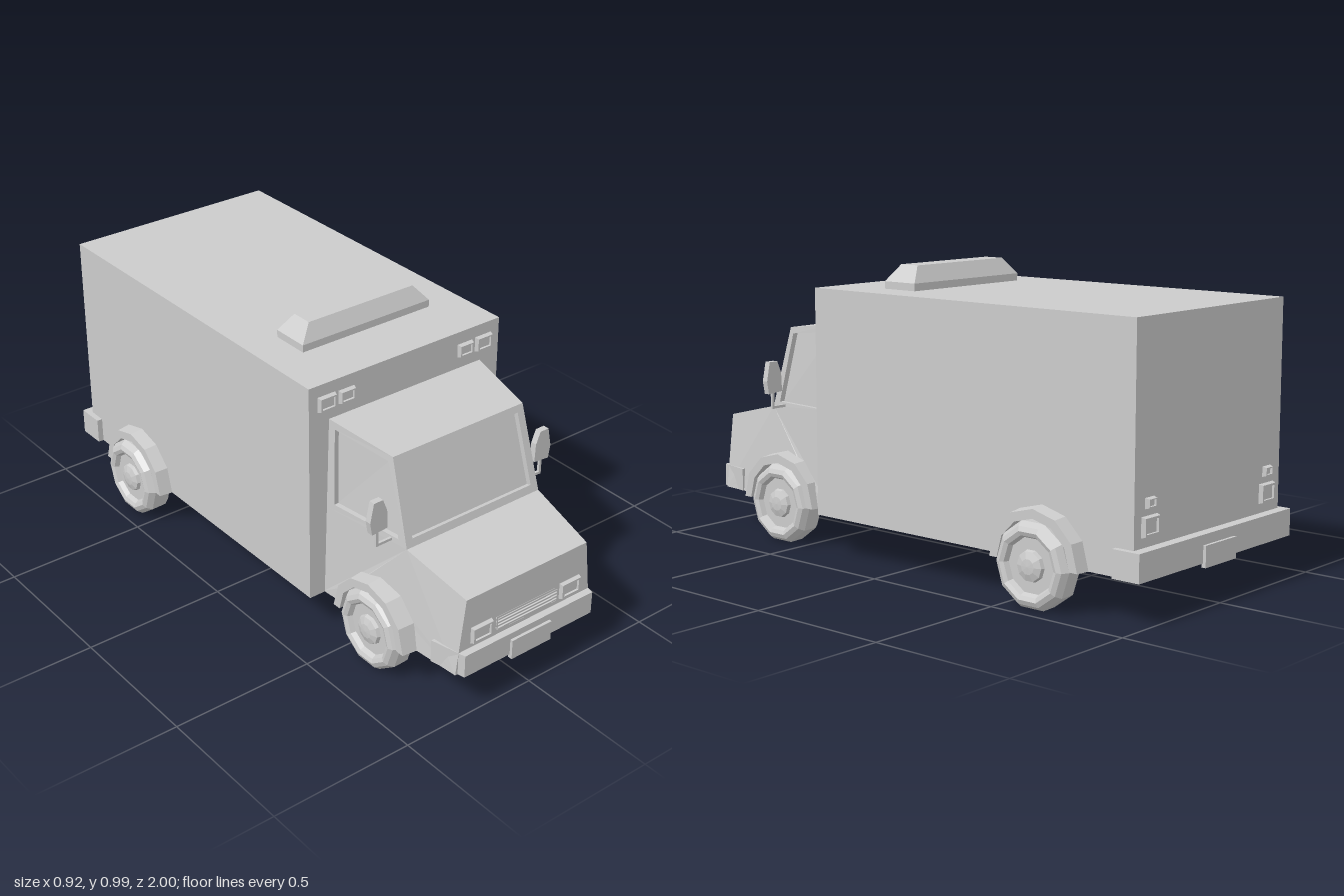
import * as THREE from 'three';

const mat = new THREE.MeshStandardMaterial({ color: 0xcccccc, flatShading: true });
const FLOOR = 0.145, ARCH_R = 0.155;

function add(parent, name, geo, x = 0, y = 0, z = 0) {
  const m = new THREE.Mesh(geo, mat);
  m.name = name;
  m.position.set(x, y, z);
  parent.add(m);
  return m;
}

// Extrude a (z, y) side profile across x, centred on x = 0
function extrudeAcross(points, width) {
  const shape = new THREE.Shape(points.map(([z, y]) => new THREE.Vector2(z, y)));
  const g = new THREE.ExtrudeGeometry(shape, { depth: width, bevelEnabled: false });
  return g.translate(0, 0, -width / 2).rotateY(-Math.PI / 2);
}

// Points of a half-round wheel arch, from rear to front
function archPoints(cz, r, n = 6) {
  return Array.from({ length: n + 1 }, (_, i) => {
    const a = Math.PI * (1 - i / n);
    return [cz + r * Math.cos(a), FLOOR + r * Math.sin(a)];
  });
}

// Half-width of the cab: narrower towards the nose and the roof
function cabHalf(z, y) {
  const t = (z - 0.38) / 0.59, h = y - FLOOR;
  return 0.33 - 0.03 * h - t * (0.045 + 0.1 * h);
}

// Quads given as four corners, anticlockwise from outside
function quads(list) {
  const pos = [];
  for (const [a, b, c, d] of list) for (const p of [a, b, c, a, c, d]) pos.push(p.x, p.y, p.z);
  const g = new THREE.BufferGeometry();
  g.setAttribute('position', new THREE.Float32BufferAttribute(pos, 3));
  g.computeVertexNormals();
  return g;
}

// Frame with a recessed pane; u and v are the inner limits across the panel
function insetPanel(c, [u0, u1], [v0, v1], depth, extra = []) {
  const at = (u, v) => c[0].clone().lerp(c[1], u).lerp(c[3].clone().lerp(c[2], u), v);
  const n = c[2].clone().sub(c[0]).cross(c[3].clone().sub(c[1])).normalize();
  const inner = [at(u0, v0), at(u1, v0), at(u1, v1), at(u0, v1)];
  const pane = inner.map(p => p.clone().addScaledVector(n, -depth));
  const list = [pane, ...extra];
  for (let i = 0; i < 4; i++) {
    const j = (i + 1) % 4;
    list.push([c[i], c[j], inner[j], inner[i]], [inner[i], inner[j], pane[j], pane[i]]);
  }
  return quads(list);
}

// Box-shaped lamp with bevelled sides and a recessed lens, facing +z
function lampGeometry(w, h, d) {
  const ring = (s, z) => [[-1, -1], [1, -1], [1, 1], [-1, 1]]
    .map(([x, y]) => new THREE.Vector3(x * (w / 2 - s), y * (h / 2 - s), z));
  const back = ring(0, 0), front = ring(0.004, d);
  const sides = [0, 1, 2, 3].map(i => [back[i], back[(i + 1) % 4], front[(i + 1) % 4], front[i]]);
  return insetPanel(front, [0.1, 0.9], [0.12, 0.88], 0.008, sides);
}

// Bumper: plan outline in (x, z) pulled up to its height
function bumperGeometry(halfFace, halfEnd, depth, height) {
  const s = new THREE.Shape();
  s.moveTo(-halfEnd, depth).lineTo(-halfFace, 0).lineTo(halfFace, 0).lineTo(halfEnd, depth);
  return new THREE.ExtrudeGeometry(s, { depth: height, bevelEnabled: false })
    .rotateX(Math.PI / 2).translate(0, height, 0).rotateY(Math.PI);
}

function buildCab(root) {
  const cab = new THREE.Group();
  cab.name = 'cab';
  root.add(cab);

  // Lower cab and bonnet, tapered by the width rule
  const lower = extrudeAcross([[0.37, FLOOR], ...archPoints(0.62, ARCH_R),
    [0.965, FLOOR], [0.965, 0.41], [0.715, 0.47], [0.37, 0.47]], 2);
  const p = lower.attributes.position;
  for (let i = 0; i < p.count; i++) p.setX(i, Math.sign(p.getX(i)) * cabHalf(p.getZ(i), p.getY(i)));
  add(cab, 'lowerCab', lower);

  // Upper cab: windscreen, side windows and roof
  const pt = (s, z, y) => new THREE.Vector3(s * cabHalf(z, y), y, z);
  const corner = s => ({ a: pt(s, 0.715, 0.47), b: pt(s, 0.63, 0.757), c: pt(s, 0.37, 0.79), d: pt(s, 0.37, 0.47) });
  const L = corner(1), R = corner(-1);
  add(cab, 'windscreen', insetPanel([R.a, L.a, L.b, R.b], [0.05, 0.95], [0.09, 0.92], 0.018));
  add(cab, 'leftWindow', insetPanel([L.a, L.d, L.c, L.b], [0.09, 0.89], [0.07, 0.92], 0.018));
  add(cab, 'rightWindow', insetPanel([R.d, R.a, R.b, R.c], [0.11, 0.91], [0.07, 0.92], 0.018));
  add(cab, 'cabRoof', quads([[R.b, L.b, L.c, R.c]]));

  // Grille: surround, recess and slats
  add(cab, 'grille', insetPanel([[-1, -1], [1, -1], [1, 1], [-1, 1]]
    .map(([x, y]) => new THREE.Vector3(x * 0.13, 0.27 + y * 0.028, 0.974)), [0.02, 0.98], [0.1, 0.9], 0.007));
  for (let i = 0; i < 4; i++)
    add(cab, 'grilleSlat', new THREE.BoxGeometry(0.25, 0.006, 0.01), 0, 0.252 + i * 0.012, 0.97);

  for (const s of [-1, 1]) {
    add(cab, 'headlight', lampGeometry(0.086, 0.058, 0.014), s * 0.186, 0.27, 0.964);

    // Door mirror on a bent arm
    const head = new THREE.Shape([[0.307, 0.535], [0.368, 0.53], [0.376, 0.575], [0.362, 0.642],
      [0.327, 0.642], [0.31, 0.6]].map(([x, y]) => new THREE.Vector2(s * x, y)));
    add(cab, 'mirror', new THREE.ExtrudeGeometry(head, { depth: 0.022, bevelEnabled: false }), 0, 0, 0.637);
    add(cab, 'mirrorArm', new THREE.BoxGeometry(0.009, 0.06, 0.009), s * 0.342, 0.505, 0.648);
    add(cab, 'mirrorArm', new THREE.BoxGeometry(0.07, 0.009, 0.009), s * 0.311, 0.48, 0.648);
  }
}

// Flared arch lip around a wheel; the outer rim shrinks inwards
function flareGeometry(cz, x0, x1, side) {
  const pts = [...archPoints(cz, 0.182), ...archPoints(cz, 0.15).reverse()];
  const g = extrudeAcross(pts, 2), p = g.attributes.position;
  for (let i = 0; i < p.count; i++) {
    const outer = p.getX(i) * side > 0;
    p.setX(i, side * (outer ? x1 : x0));
    if (outer) {
      p.setY(i, FLOOR + (p.getY(i) - FLOOR) * 0.95);
      p.setZ(i, cz + (p.getZ(i) - cz) * 0.95);
    }
  }
  return g;
}

// Ten-sided wheel: chamfered tyre, sunken rim and domed hub
function wheelGeometry() {
  const prof = [[0, -0.045], [0.1, -0.045], [0.125, -0.05], [0.14, -0.03], [0.142, 0.025], [0.128, 0.045],
    [0.112, 0.052], [0.098, 0.046], [0.09, 0.03], [0.052, 0.03], [0.048, 0.042], [0.025, 0.05], [0, 0.052]];
  return new THREE.LatheGeometry(prof.map(([r, h]) => new THREE.Vector2(r, h)), 10).rotateZ(-Math.PI / 2);
}

export function createModel() {
  const root = new THREE.Group();
  root.name = 'boxVan';

  // Cargo box with the rear wheel tunnel
  add(root, 'cargoBox', extrudeAcross([[-0.955, FLOOR], ...archPoints(-0.61, ARCH_R),
    [0.375, FLOOR], [0.375, 0.92], [-0.955, 0.92]], 0.78));
  buildCab(root);

  // Roof light bar with sloping top
  const bar = new THREE.BoxGeometry(0.52, 0.055, 0.135), p = bar.attributes.position;
  for (let i = 0; i < p.count; i++) if (p.getY(i) > 0) {
    p.setX(i, p.getX(i) * 0.82);
    p.setZ(i, p.getZ(i) * 0.55);
  }
  add(root, 'lightBarBase', new THREE.BoxGeometry(0.52, 0.025, 0.135), 0, 0.9325, 0.108);
  add(root, 'lightBar', bar, 0, 0.9725, 0.108);

  // Bumpers and plates
  const front = bumperGeometry(0.27, 0.298, 0.125, 0.08);
  add(root, 'frontBumper', front.rotateY(Math.PI).scale(1, 1, -1).rotateY(Math.PI).rotateY(Math.PI), 0, FLOOR, 0.99)
    .geometry = new THREE.ExtrudeGeometry(new THREE.Shape([[-0.298, 0.125], [-0.27, 0], [0.27, 0], [0.298, 0.125]]
      .map(([x, y]) => new THREE.Vector2(x, y))), { depth: 0.08, bevelEnabled: false })
      .rotateX(Math.PI / 2).rotateZ(Math.PI);
  root.getObjectByName('frontBumper').rotation.y = Math.PI;
  add(root, 'rearBumper', new THREE.BoxGeometry(0.82, 0.09, 0.1), 0, 0.19, -0.94);
  for (const z of [0.992, -0.992])
    add(root, 'plate', new THREE.BoxGeometry(0.166, 0.07, 0.016), 0, 0.167, z);

  for (const s of [-1, 1]) {
    // Marker lamps above the cab and lamps on the rear wall
    add(root, 'markerLamp', lampGeometry(0.068, 0.052, 0.014), s * 0.322, 0.853, 0.375);
    add(root, 'markerLamp', lampGeometry(0.062, 0.046, 0.014), s * 0.244, 0.853, 0.375);
    add(root, 'tailLamp', lampGeometry(0.08, 0.064, 0.014), s * 0.315, 0.298, -0.955).rotation.y = Math.PI;
    add(root, 'reverseLamp', lampGeometry(0.045, 0.034, 0.014), s * 0.315, 0.368, -0.955).rotation.y = Math.PI;

    // Wheels and arch flares
    for (const [name, z, x, x0, x1] of [['front', 0.62, 0.308, 0.27, 0.35], ['rear', -0.61, 0.41, 0.37, 0.437]]) {
      add(root, name + 'Wheel', wheelGeometry(), s * x, 0.142, z).rotation.y = s > 0 ? 0 : Math.PI;
      add(root, name + 'ArchFlare', flareGeometry(z, x0, x1, s));
    }
  }
  return root;
}
